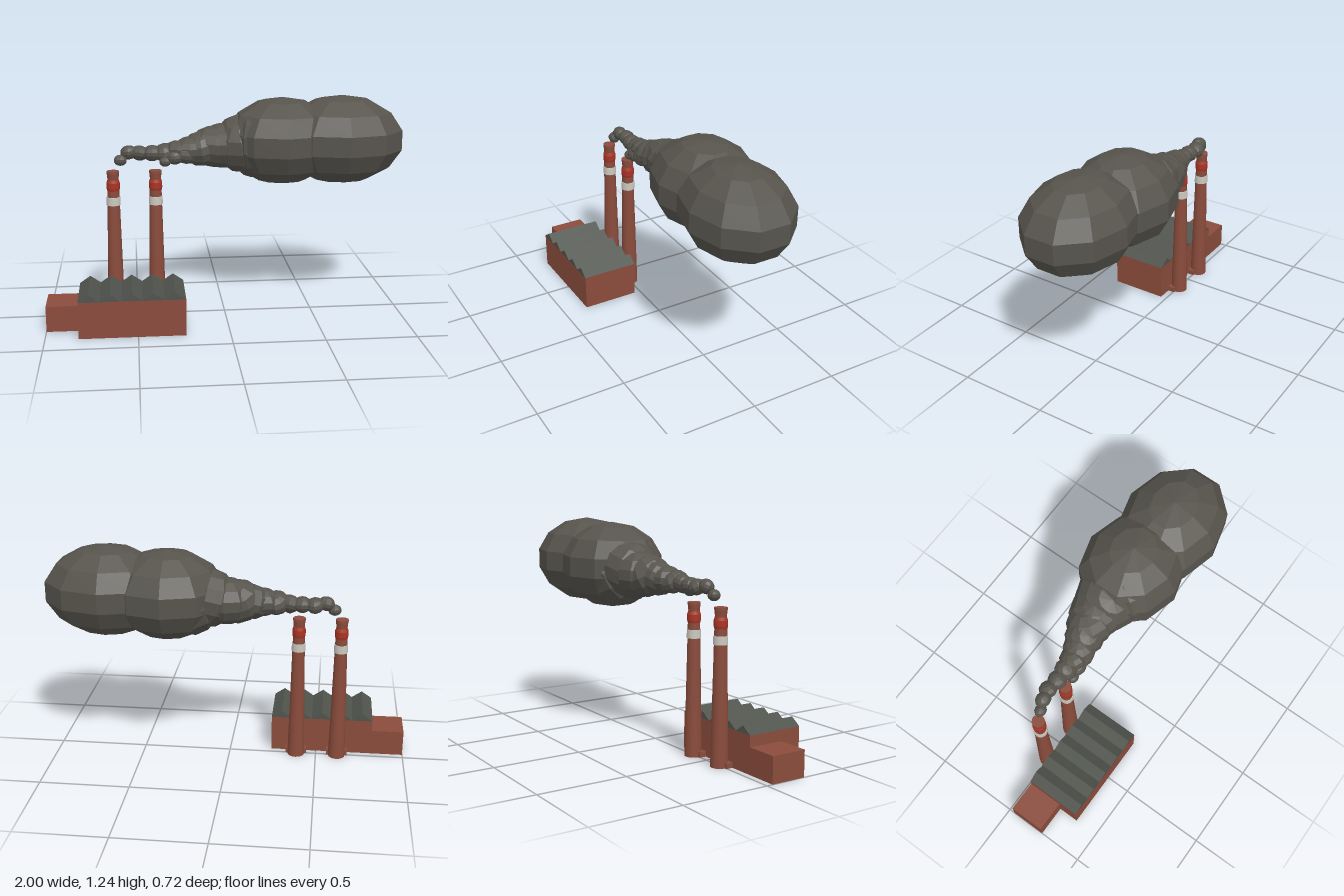
import * as THREE from 'three';

const paint = (name, color, flatShading = false) => {
  const m = new THREE.MeshStandardMaterial({ color, flatShading });
  m.name = name;
  return m;
};

export function createModel() {
  const brick = paint('brick', 0x8a4c3c);
  const roofing = paint('roofing', 0x50544d, true);
  const red = paint('bandRed', 0xa83525);
  const white = paint('bandWhite', 0xcac8be);
  const soot = paint('smoke', 0x57544d, true);

  const model = new THREE.Group();
  model.name = 'factory';

  const add = (parent, name, geometry, material, x = 0, y = 0, z = 0) => {
    const mesh = new THREE.Mesh(geometry, material);
    mesh.name = name;
    mesh.position.set(x, y, z);
    parent.add(mesh);
    return mesh;
  };
  // Box given by its minimum and maximum corners
  const block = (name, x0, x1, y0, y1, z0, z1) =>
    add(model, name, new THREE.BoxGeometry(x1 - x0, y1 - y0, z1 - z0), brick,
      (x0 + x1) / 2, (y0 + y1) / 2, (z0 + z1) / 2);

  // Buildings
  block('mainHall', -0.82, -0.24, 0, 0.206, 0.035, 0.36);
  block('annex', -1, -0.82, 0, 0.145, 0.035, 0.24);

  // Row of five gabled roof ridges
  const pitch = 0.58 / 5;
  const gable = new THREE.Shape();
  gable.moveTo(-pitch / 2, 0);
  gable.lineTo(pitch / 2, 0);
  gable.lineTo(0, 0.04);
  gable.closePath();
  const ridge = new THREE.ExtrudeGeometry(gable, { depth: 0.327, bevelEnabled: false });
  for (let i = 0; i < 5; i++) {
    add(model, 'roofRidge', ridge, roofing, -0.82 + pitch * (i + 0.5), 0.206, 0.034);
  }

  // Chimneys: tapered shaft, painted bands and a flared crown
  const sections = [
    ['shaft', brick, 0.048, 0.033, 0, 0.735],
    ['whiteBand', white, 0.039, 0.038, 0.646, 0.692],
    ['redCollar', red, 0.034, 0.037, 0.728, 0.742],
    ['redBand', red, 0.037, 0.037, 0.742, 0.772],
    ['redShoulder', red, 0.037, 0.031, 0.772, 0.79],
    ['crown', brick, 0.03, 0.034, 0.785, 0.825],
    ['rim', brick, 0.035, 0.035, 0.825, 0.838],
  ];
  for (const x of [-0.62, -0.385]) {
    const chimney = new THREE.Group();
    chimney.name = 'chimney';
    chimney.position.set(x, 0, -0.007);
    model.add(chimney);
    for (const [name, material, bottom, top, y0, y1] of sections) {
      add(chimney, name, new THREE.CylinderGeometry(top, bottom, y1 - y0, 16), material, 0, (y0 + y1) / 2, 0);
    }
    add(chimney, 'flue', new THREE.BoxGeometry(0.12, 0.03, 0.042), brick, 0, 0.015, 0.023);
  }

  // Smoke plume: faceted puffs growing downwind
  const puff = new THREE.SphereGeometry(1, 10, 7).rotateY(Math.PI / 10);
  const addPuff = (x, y, z, rx, ry, rz, turn = 0) => {
    const mesh = add(model, 'smokePuff', puff, soot, x, y, z);
    mesh.scale.set(rx, ry, rz);
    mesh.rotation.set(turn, 0, turn * 0.4);
  };
  // x, y, z, vertical radius, depth radius
  const trail = [
    [-0.577, 0.895, -0.02, 0.031, 0.032],
    [-0.53, 0.936, -0.035, 0.04, 0.04],
    [-0.47, 0.928, -0.05, 0.042, 0.05],
    [-0.4, 0.928, -0.042, 0.045, 0.052],
    [-0.33, 0.93, -0.04, 0.05, 0.062],
    [-0.26, 0.935, -0.045, 0.06, 0.077],
    [-0.19, 0.94, -0.052, 0.076, 0.092],
    [-0.12, 0.945, -0.068, 0.096, 0.108],
    [-0.05, 0.95, -0.085, 0.116, 0.128],
    [0.01, 0.955, -0.095, 0.128, 0.145],
    [0.1, 0.965, -0.09, 0.16, 0.18],
    [0.19, 0.975, -0.085, 0.205, 0.23],
  ];
  trail.forEach(([x, y, z, ry, rz], i) => {
    addPuff(x, y, z, Math.min(ry * 1.2, 0.15), ry, rz, 0.5 * Math.sin(i * 2.1));
  });
  // Short branch from the second chimney
  addPuff(-0.33, 0.888, 0.005, 0.034, 0.028, 0.032);
  addPuff(-0.275, 0.91, 0, 0.05, 0.04, 0.042, 0.3);
  addPuff(-0.21, 0.92, -0.01, 0.06, 0.05, 0.052, -0.3);
  // Two large clouds at the far end
  addPuff(0.333, 0.98, -0.083, 0.324, 0.246, 0.283);
  addPuff(0.67, 0.986, -0.06, 0.356, 0.25, 0.283);

  return model;
}
